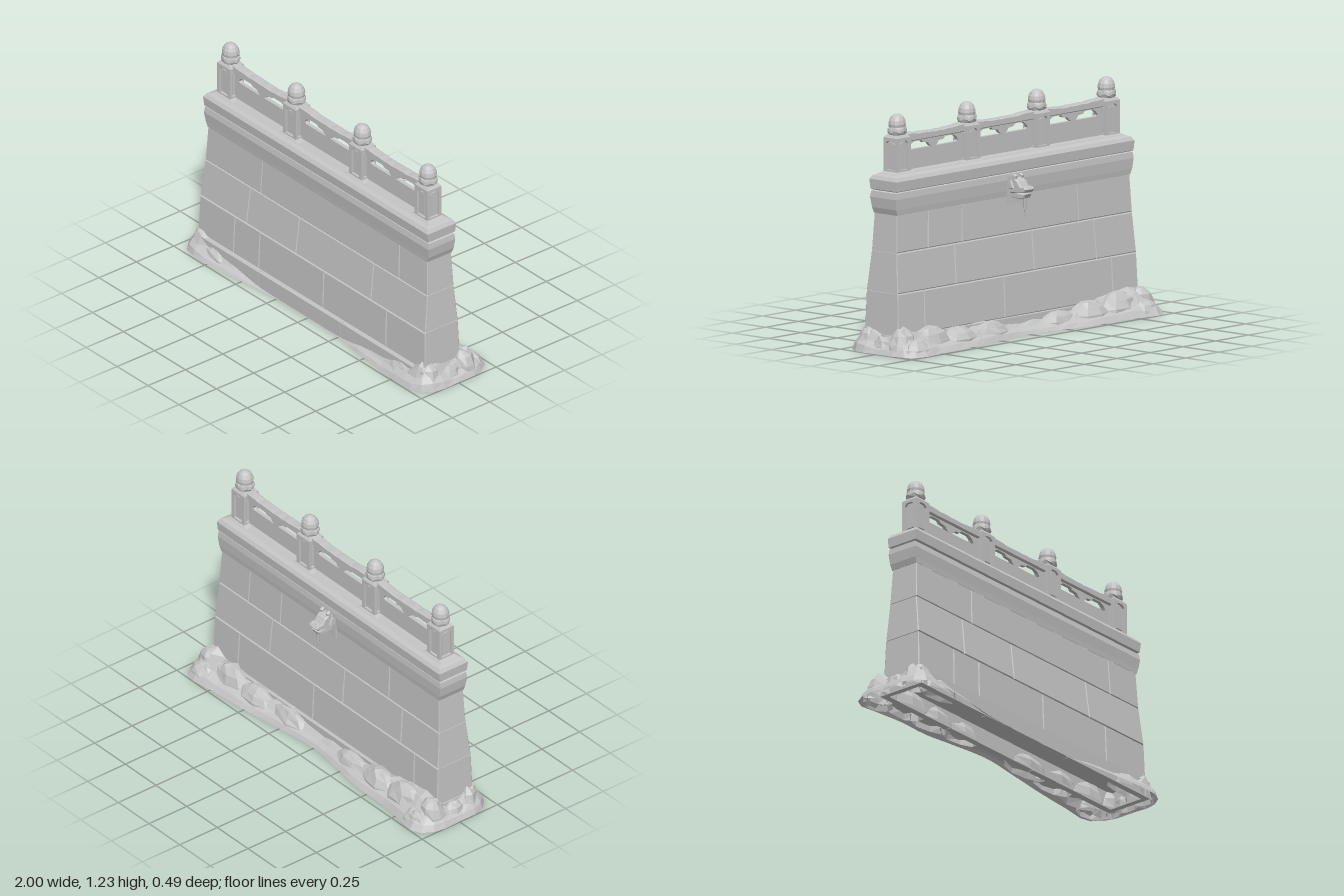
import * as THREE from 'three';

const stone = new THREE.MeshStandardMaterial({ color: 0xc4c4c4, flatShading: true, side: THREE.DoubleSide });
stone.name = 'pale stone';

const MID = 0.036; // z of the wall's centre plane
const POSTS = [-0.797, -0.266, 0.266, 0.797];

function add(parent, name, geometry, x = 0, y = 0, z = 0) {
  const mesh = new THREE.Mesh(geometry, stone);
  mesh.name = name;
  mesh.position.set(x, y, z);
  parent.add(mesh);
  return mesh;
}

function polygon(points, Type = THREE.Shape) {
  return new Type(points.map(([x, y]) => new THREE.Vector2(x, y)));
}

// Piecewise-linear lookup in [key, value] pairs
function lerpTable(table, k) {
  for (let i = 1; i < table.length; i++) {
    const [a, va] = table[i - 1], [b, vb] = table[i];
    if (k <= b || i === table.length - 1) return va + (vb - va) * Math.min(1, Math.max(0, (k - a) / (b - a)));
  }
}

function hash(x, y, z) {
  const s = Math.sin(x * 127.1 + y * 311.7 + z * 74.7) * 43758.5453;
  return s - Math.floor(s) - 0.5;
}

function mapVertices(geometry, fn) {
  const p = geometry.attributes.position, v = new THREE.Vector3();
  for (let i = 0; i < p.count; i++) {
    fn(v.fromBufferAttribute(p, i));
    p.setXYZ(i, v.x, v.y, v.z);
  }
  geometry.computeVertexNormals();
  return geometry;
}

// Battered outline of the wall by height
const frontZ = [[0, 0.16], [0.31, 0.149], [0.52, 0.124], [0.72, 0.115]];
const backZ = [[0, -0.084], [0.31, -0.071], [0.52, -0.053], [0.72, -0.045]];
const halfX = [[0, 0.918], [0.31, 0.91], [0.52, 0.898], [0.72, 0.886]];

// One bevelled stone on the front (side 1) or back (side -1) face
function block(x0, x1, y0, y1, side) {
  const b = 0.004, ix = b + 0.0005, iy = b + 0.0015;
  const shape = polygon([[x0 + ix, y0 + iy], [x1 - ix, y0 + iy], [x1 - ix, y1 - iy], [x0 + ix, y1 - iy]]);
  const geo = new THREE.ExtrudeGeometry(shape, { depth: 0.11, bevelThickness: b, bevelSize: b, bevelSegments: 1 });
  return mapVertices(geo, v => {
    const reach = side > 0 ? lerpTable(frontZ, v.y) - MID : MID - lerpTable(backZ, v.y);
    v.x *= side * lerpTable(halfX, v.y) / 0.9;
    v.z = MID + side * (v.z - 0.02) / 0.094 * reach;
  });
}

function makeWall() {
  const wall = new THREE.Group();
  wall.name = 'wall';
  const courses = [
    { y: [0.09, 0.31], front: [-0.62, -0.42, 0.09, 0.59], back: [-0.7, -0.1, 0.71] },
    { y: [0.31, 0.52], front: [-0.53, -0.135, 0.465], back: [-0.46, 0.13, 0.6] },
    { y: [0.52, 0.72], front: [-0.45, 0.67], back: [-0.66, -0.4, 0.49] },
  ];
  for (const c of courses) {
    for (const [seams, side] of [[c.front, 1], [c.back, -1]]) {
      const xs = [-0.9, ...seams, 0.9];
      for (let i = 1; i < xs.length; i++) {
        add(wall, 'stoneBlock', block(xs[i - 1], xs[i], c.y[0], c.y[1], side));
      }
    }
  }
  // Core seen in the joints
  add(wall, 'core', mapVertices(new THREE.BoxGeometry(1.75, 0.66, 1, 1, 8, 1).translate(0, 0.42, 0), v => {
    v.x = Math.sign(v.x) * (lerpTable(halfX, v.y) - 0.006);
    v.z = v.z > 0 ? lerpTable(frontZ, v.y) - 0.006 : lerpTable(backZ, v.y) + 0.006;
  }));
  // Plinth course, a hollow ring of slabs
  const seams = [-0.925, -0.4, 0.265, 0.925];
  for (let i = 1; i < seams.length; i++) {
    const slab = new THREE.BoxGeometry(seams[i] - seams[i - 1] - 0.004, 0.09, 0.035);
    for (const z of [0.162, -0.078]) add(wall, 'plinthStone', slab, (seams[i] + seams[i - 1]) / 2, 0.045, z);
  }
  for (const s of [-1, 1]) add(wall, 'plinthEnd', new THREE.BoxGeometry(0.03, 0.09, 0.22), s * 0.908, 0.045, 0.042);
  return wall;
}

// Stack of rectangular cross-sections [y, halfX, front z, back z]
function stack(rows) {
  const geo = new THREE.BoxGeometry(2, rows.length - 1, 2, 1, rows.length - 1, 1);
  return mapVertices(geo, v => {
    const [y, hx, zf, zb] = rows[Math.round(v.y + (rows.length - 1) / 2)];
    v.set(v.x * hx, y, v.z > 0 ? zf : zb);
  });
}

// Post with a sunken panel on each side and a bud finial
function makePost(x) {
  const post = new THREE.Group();
  post.name = 'post';
  post.position.set(x, 0, 0.037);
  add(post, 'postCore', new THREE.BoxGeometry(0.076, 0.19, 0.067), 0, 1.01, 0);
  for (let k = 0; k < 4; k++) {
    const hw = k % 2 ? 0.0475 : 0.052, off = k % 2 ? 0.052 : 0.0475;
    const frame = polygon([[-hw, 0.92], [hw, 0.92], [hw, 1.108], [-hw, 1.108]]);
    const panel = (w, y0, y1, c) => [[-w, y0], [w, y0], [w, y1 - c], [w - c, y1], [c - w, y1], [-w, y1 - c]];
    frame.holes.push(polygon(panel(0.031, 0.94, 1.092, 0.014), THREE.Path));
    const side = new THREE.Group();
    side.name = 'postSide';
    side.rotation.y = k * Math.PI / 2;
    add(side, 'frame', new THREE.ExtrudeGeometry(frame, { depth: 0.014, bevelEnabled: false }), 0, 0, off - 0.014);
    add(side, 'panel', new THREE.ExtrudeGeometry(polygon(panel(0.023, 0.95, 1.082, 0.01)), { depth: 0.008, bevelEnabled: false }), 0, 0, off - 0.014);
    post.add(side);
  }
  add(post, 'postTop', stack([[1.106, 0.052, 0.0475, -0.0475], [1.122, 0.04, 0.037, -0.037]]));
  add(post, 'postFoot', stack([[0.905, 0.088, 0.072, -0.07], [0.924, 0.074, 0.056, -0.056], [0.932, 0.053, 0.048, -0.048]]));
  const bud = [[0.026, 1.115], [0.046, 1.124], [0.054, 1.138], [0.052, 1.155], [0.046, 1.162], [0.049, 1.176],
    [0.045, 1.196], [0.034, 1.215], [0.019, 1.226], [0, 1.231]];
  const budGeo = new THREE.LatheGeometry(bud.map(([r, y]) => new THREE.Vector2(r, y)), 12);
  add(post, 'finial', mapVertices(budGeo, v => {
    // Scalloped petals around the lower cup
    if (v.y > 1.13 && v.y < 1.16) v.y += 0.006 * Math.cos(6 * Math.atan2(v.x, v.z));
  })).scale.z = 0.92;
  return post;
}

// Balustrade bay with two openings either side of a bracket
function makeBay(x) {
  const bay = new THREE.Group();
  bay.name = 'balustradeBay';
  bay.position.set(x, 0, 0);
  const hw = 0.22;
  const panel = polygon([[-hw, 0.91], [hw, 0.91], [hw, 1.09], [-hw, 1.09]]);
  for (const s of [-1, 1]) {
    const hole = [[0.016, 1.031], [0.17, 1.031], [0.188, 1.038], [0.178, 1.056], [0.15, 1.071], [0.09, 1.071], [0.078, 1.058], [0.04, 1.054], [0.032, 1.042]];
    panel.holes.push(polygon(hole.map(([a, b]) => [a * s, b]), THREE.Path));
  }
  add(bay, 'panel', new THREE.ExtrudeGeometry(panel, { depth: 0.02, bevelEnabled: false }), 0, 0, 0.027);
  // Rail with a sagging, uneven top
  const top = [];
  for (let i = 0; i <= 14; i++) {
    const t = i / 7 - 1;
    top.push([-t * hw, 1.109 + 0.01 * t * t + 0.005 * hash(i, x, 2)]);
  }
  const rail = polygon([[-hw, 1.082], [hw, 1.082], ...top]);
  add(bay, 'rail', new THREE.ExtrudeGeometry(rail, { depth: 0.036, bevelThickness: 0.007, bevelSize: 0.005, bevelSegments: 1 }), 0, 0, 0.019);
  add(bay, 'sill', stack([[0.91, hw, 0.075, -0.002], [0.93, hw, 0.054, 0.02]]));
  return bay;
}

// Beast-head water spout with icicles, modelled looking along +x then turned to the back
function makeSpout() {
  const spout = new THREE.Group();
  spout.name = 'waterSpout';
  spout.position.set(0, 0, -0.042);
  spout.rotation.y = Math.PI / 2;
  const solid = (name, pts, w, z = 0) => add(spout, name, new THREE.ExtrudeGeometry(polygon(pts),
    { depth: w - 0.012, bevelThickness: 0.006, bevelSize: 0.004, bevelSegments: 1 }), 0, 0, z - w / 2 + 0.006);
  add(spout, 'backPlate', new THREE.BoxGeometry(0.022, 0.15, 0.11), 0.001, 0.745, 0);
  solid('upperHead', [[0, 0.735], [0.05, 0.74], [0.105, 0.745], [0.116, 0.758], [0.108, 0.768], [0.08, 0.767], [0.062, 0.793], [0.035, 0.81], [0, 0.8]], 0.07);
  solid('lowerJaw', [[0, 0.715], [0.05, 0.71], [0.095, 0.715], [0.105, 0.73], [0.06, 0.73], [0.04, 0.75], [0, 0.75]], 0.054);
  for (const s of [-1, 1]) {
    solid('horn', [[0.012, 0.79], [0.038, 0.795], [0.046, 0.822], [0.032, 0.828]], 0.02, s * 0.025);
    solid('ear', [[0.005, 0.755], [0.04, 0.762], [0.024, 0.798], [0.008, 0.785]], 0.016, s * 0.04);
    add(spout, 'brow', new THREE.IcosahedronGeometry(0.013), 0.058, 0.783, s * 0.025);
    add(spout, 'nostril', new THREE.IcosahedronGeometry(0.009), 0.106, 0.767, s * 0.018);
  }
  for (const [x, z, len, r] of [[0.084, 0, 0.125, 0.015], [0.075, 0.016, 0.06, 0.008], [0.02, -0.016, 0.05, 0.008]]) {
    add(spout, 'icicle', new THREE.ConeGeometry(r, len, 6).rotateX(Math.PI), x, 0.725 - len / 2, z);
  }
  return spout;
}

// Lumpy skirt of drifted ground; each entry is [x, height at wall, z]
function makeMound() {
  const mound = new THREE.Group();
  mound.name = 'groundMound';
  const loop = [[-0.93, 0.125, 0.22], [-0.75, 0.07, 0.235], [-0.55, 0.05, 0.215], [-0.38, 0.012, 0.19], [0, 0.005, 0.182],
    [0.28, 0.01, 0.185], [0.4, 0.045, 0.205], [0.6, 0.06, 0.225], [0.78, 0.09, 0.24], [0.93, 0.13, 0.225],
    [0.995, 0.13, 0.14], [0.995, 0.09, 0], [0.99, 0.12, -0.14], [0.92, 0.13, -0.24], [0.75, 0.11, -0.23],
    [0.5, 0.08, -0.21], [0.25, 0.09, -0.18], [0, 0.06, -0.155], [-0.25, 0.08, -0.185], [-0.42, 0.09, -0.21],
    [-0.62, 0.11, -0.21], [-0.8, 0.13, -0.23], [-0.93, 0.12, -0.24], [-0.995, 0.12, -0.14], [-0.995, 0.09, 0], [-0.99, 0.12, 0.14]];
  const curve = new THREE.CatmullRomCurve3(loop.map(p => new THREE.Vector3(...p)), true);
  const profile = [[0, 0], [0.14, 0.28], [0.42, 0.5], [0.66, 0.85], [1, 1]];
  const N = 70, M = profile.length, pos = [], idx = [];
  for (let i = 0; i < N; i++) {
    const p = curve.getPointAt(i / N);
    const ix = THREE.MathUtils.clamp(p.x, -0.895, 0.895), iz = THREE.MathUtils.clamp(p.z, -0.07, 0.145);
    profile.forEach(([t, h], j) => {
      const wob = j ? 1 + 0.3 * hash(i, j, 1) : 1;
      pos.push(p.x + (ix - p.x) * t, p.y * h * wob, p.z + (iz - p.z) * t);
      if (j < M - 1) {
        const a = i * M + j, b = ((i + 1) % N) * M + j;
        idx.push(a, b, b + 1, a, b + 1, a + 1);
      }
    });
  }
  const skirt = new THREE.BufferGeometry();
  skirt.setAttribute('position', new THREE.Float32BufferAttribute(pos, 3));
  skirt.setIndex(idx);
  skirt.computeVertexNormals();
  add(mound, 'skirt', skirt);
  // Rounded lumps, open below: [x, z, radius x, height, radius z]
  const lumps = [[0.9, -0.1, 0.085, 0.14, 0.075], [0.9, 0.12, 0.075, 0.13, 0.065], [0.93, 0.01, 0.05, 0.09, 0.075],
    [0.87, -0.165, 0.1, 0.08, 0.065], [-0.9, -0.1, 0.085, 0.14, 0.075], [-0.9, 0.12, 0.075, 0.13, 0.065],
    [-0.93, 0.01, 0.05, 0.09, 0.075], [-0.86, -0.165, 0.1, 0.08, 0.065], [0.72, -0.11, 0.15, 0.13, 0.08],
    [0.5, -0.11, 0.14, 0.1, 0.075], [0.25, -0.1, 0.17, 0.095, 0.065], [-0.28, -0.1, 0.15, 0.09, 0.065],
    [-0.5, -0.11, 0.15, 0.115, 0.075], [-0.71, -0.11, 0.15, 0.135, 0.08], [0.76, 0.155, 0.13, 0.085, 0.06], [-0.76, 0.155, 0.14, 0.075, 0.06]];
  for (const [x, z, rx, h, rz] of lumps) {
    const geo = mapVertices(new THREE.SphereGeometry(1, 9, 4, 0, Math.PI * 2, 0, Math.PI / 2), v => {
      const k = 1 + 0.18 * hash(Math.round(v.x * 50) + x, Math.round(v.y * 50), Math.round(v.z * 50) + z);
      v.set(v.x * rx * k, v.y * h * Math.min(k, 1.02), v.z * rz * k);
    });
    add(mound, 'lump', geo, x, 0, z);
  }
  return mound;
}

export function createModel() {
  const model = new THREE.Group();
  model.name = 'balustradedWall';
  model.add(makeWall());
  // Moulded courses along the top
  add(model, 'lowerCornice', stack([[0.715, 0.888, 0.116, -0.046], [0.745, 0.899, 0.119, -0.05], [0.8, 0.907, 0.126, -0.054], [0.832, 0.903, 0.12, -0.05], [0.838, 0.89, 0.11, -0.042]]));
  add(model, 'upperCornice', stack([[0.836, 0.892, 0.112, -0.043], [0.842, 0.903, 0.126, -0.056], [0.893, 0.907, 0.131, -0.06], [0.912, 0.895, 0.118, -0.047], [0.922, 0.868, 0.098, -0.026]]));
  POSTS.forEach(x => model.add(makePost(x)));
  for (let i = 1; i < POSTS.length; i++) model.add(makeBay((POSTS[i - 1] + POSTS[i]) / 2));
  model.add(makeSpout());
  model.add(makeMound());
  return model;
}
